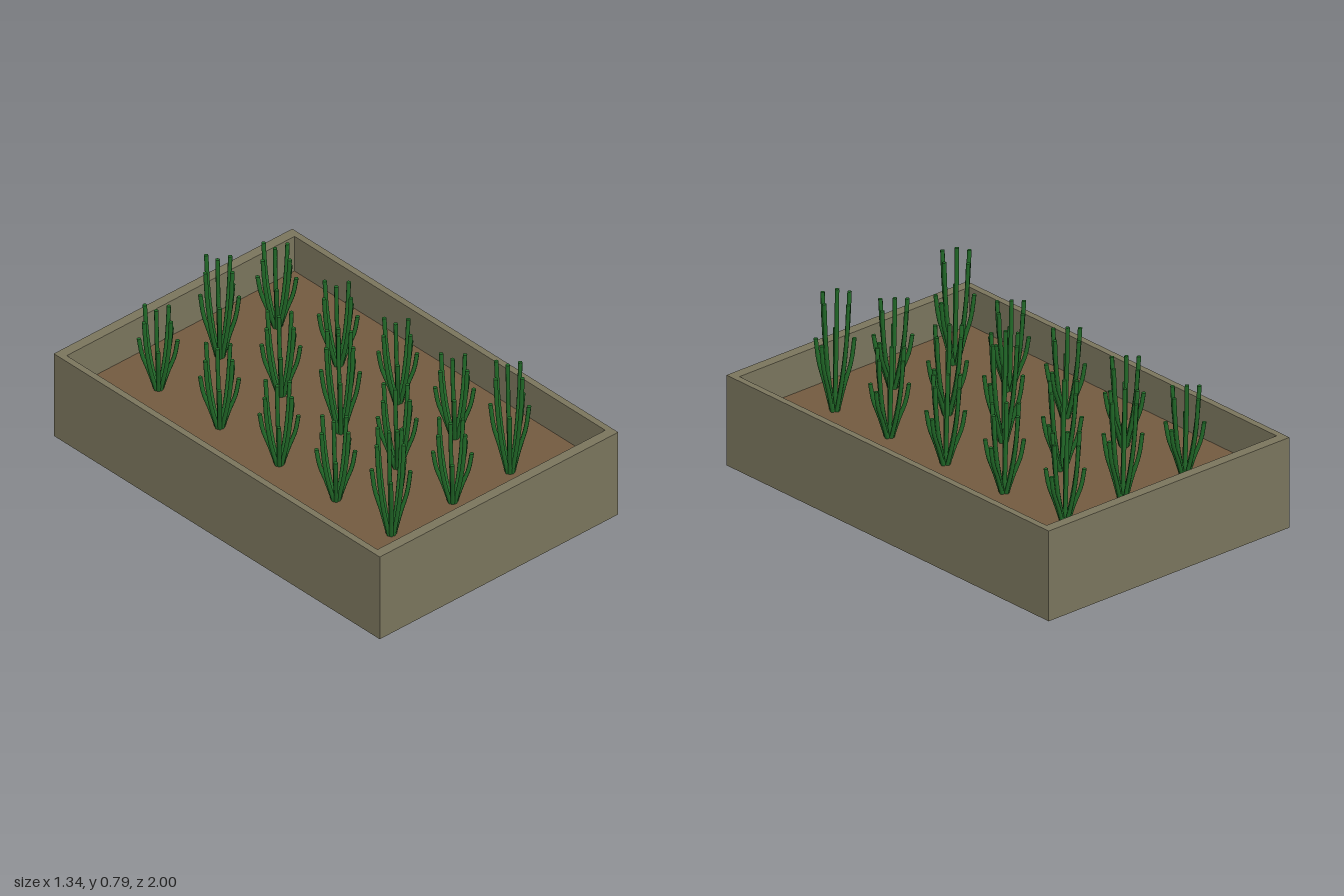
import * as THREE from 'three';
import { mergeGeometries } from 'three/addons/utils/BufferGeometryUtils.js';

const SOIL_Y = 0.24;

function material(name, color) {
  const m = new THREE.MeshStandardMaterial({ color });
  m.name = name;
  return m;
}

function rectangle(PathType, halfX, halfZ) {
  return new PathType([
    new THREE.Vector2(-halfX, -halfZ), new THREE.Vector2(halfX, -halfZ),
    new THREE.Vector2(halfX, halfZ), new THREE.Vector2(-halfX, halfZ),
  ]);
}

// One stalk: a tube that leans out from the crown and turns upward, with a flat tip
function stalkGeometry([x, z, height, bend]) {
  const at = (s, h) => new THREE.Vector3(x * s, height * h, z * s);
  const curve = new THREE.CatmullRomCurve3([at(0.16, 0), at(bend, 0.34), at(bend + (1 - bend) * 0.68, 0.67), at(1, 1)]);
  const radius = 0.0095;
  const tube = new THREE.TubeGeometry(curve, 8, radius, 7, false);
  const tip = new THREE.CircleGeometry(radius, 7);
  tip.applyQuaternion(new THREE.Quaternion().setFromUnitVectors(new THREE.Vector3(0, 0, 1), curve.getTangent(1)));
  const end = curve.getPoint(1);
  tip.translate(end.x, end.y, end.z);
  return mergeGeometries([tube, tip]);
}

export function createModel() {
  const model = new THREE.Group();
  model.name = 'planterBed';
  const wallMat = material('weathered grey wood', 0x7a755d);
  const soilMat = material('brown soil', 0x735a40);
  const leafMat = material('dark green', 0x216a28);

  const add = (name, geometry, mat, parent = model) => {
    const mesh = new THREE.Mesh(geometry, mat);
    mesh.name = name;
    parent.add(mesh);
    return mesh;
  };

  // Four joined walls as one hollow frame
  const frame = rectangle(THREE.Shape, 0.67, 1);
  frame.holes.push(rectangle(THREE.Path, 0.64, 0.953));
  const walls = new THREE.ExtrudeGeometry(frame, { depth: 0.415, bevelEnabled: false });
  walls.rotateX(-Math.PI / 2);
  add('planterWalls', walls, wallMat);

  // Floor and the soil resting on it
  add('planterFloor', new THREE.BoxGeometry(1.28, 0.03, 1.906), wallMat).position.y = 0.015;
  add('soil', new THREE.BoxGeometry(1.28, SOIL_Y - 0.03, 1.906), soilMat).position.y = (SOIL_Y + 0.03) / 2;

  // Stalk tips: x and z offset, height as a share of the plant, lean at one third height
  const stalks = [
    [-0.018, 0.005, 1, 0.5],
    [-0.09, 0.008, 0.935, 0.6],
    [0.068, -0.012, 0.935, 0.6],
    [0, -0.085, 0.935, 0.6],
    [-0.004, 0.08, 0.935, 0.6],
    [0.098, -0.027, 0.61, 0.48],
    [-0.056, -0.06, 0.61, 0.48],
    [-0.063, 0.066, 0.61, 0.48],
    [0.058, 0.053, 0.6, 0.48],
  ];
  const plantGeometry = mergeGeometries(stalks.map(stalkGeometry));

  // Five rows of three plants, with the height of each
  const columns = [-0.35, -0.005, 0.317];
  const rows = [
    [-0.706, [0.405, 0.5, 0.405]],
    [-0.33, [0.405, 0.405, 0.405]],
    [0.035, [0.405, 0.5, 0.405]],
    [0.383, [0.405, 0.405, 0.405]],
    [0.722, [0.525, 0.405, 0.55]],
  ];
  const plants = new THREE.Group();
  plants.name = 'plants';
  model.add(plants);
  for (const [z, heights] of rows) {
    heights.forEach((height, i) => {
      const plant = add('plant', plantGeometry, leafMat, plants);
      plant.position.set(columns[i], SOIL_Y, z);
      plant.scale.y = height;
    });
  }
  return model;
}
